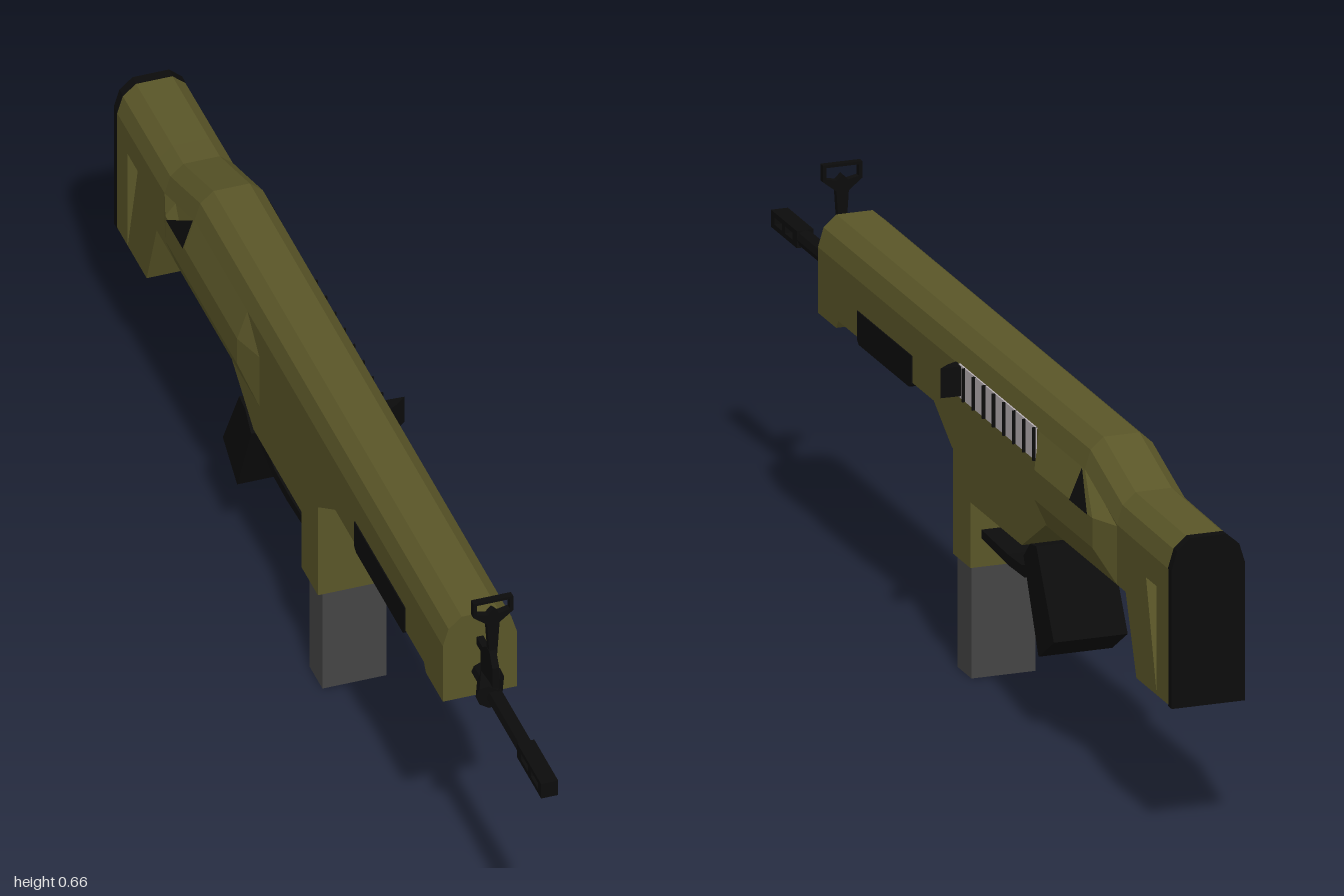
import * as THREE from 'three';

const CX = -0.01; // the long axis sits slightly off centre
const mat = (color) => new THREE.MeshStandardMaterial({ color, flatShading: true, side: THREE.DoubleSide });

export function createModel() {
  const group = new THREE.Group();
  const olive = mat(0x5a5628), black = mat(0x0c0c0c), grey = mat(0x444444), pale = mat(0xb8b0b4);

  const add = (name, geometry, material) => {
    const mesh = new THREE.Mesh(geometry, material);
    mesh.name = name;
    group.add(mesh);
    return mesh;
  };
  const box = (name, w, h, d, x, y, z, material) =>
    add(name, new THREE.BoxGeometry(w, h, d).translate(x, y, z), material);
  const outline = (pts) => new THREE.Shape(pts.map(([a, b]) => new THREE.Vector2(a, b)));

  // Side profile given as [z, y], extruded across the width
  const slab = (name, pts, width, material, holes = [], x = CX) => {
    const shape = outline(pts);
    holes.forEach((h) => shape.holes.push(outline(h)));
    const geo = new THREE.ExtrudeGeometry(shape, { depth: width, bevelEnabled: false });
    return add(name, geo.rotateY(-Math.PI / 2).translate(x + width / 2, 0, 0), material);
  };

  // Chamfered cross-section: each station is [z, bottom, top, left bulge, right bulge]
  const section = ([z, bottom, top, bl = 0, br = 0]) => {
    const half = 0.065, low = Math.max(0.435, bottom);
    const side = (b) => [
      [half, bottom], [half + b, low], [half + b, Math.max(0.487, low)],
      [half, top - 0.053], [half - 0.01, top - 0.02], [0.032, top],
    ];
    const plus = side(bl).map(([x, y]) => [CX + x, y, z]);
    const minus = side(br).map(([x, y]) => [CX - x, y, z]).reverse();
    return [...plus, ...minus];
  };
  const loft = (name, stations, material) => {
    const rings = stations.map(section), n = rings[0].length, pos = [];
    const tri = (...p) => p.forEach((v) => pos.push(...v));
    for (let i = 0; i < rings.length - 1; i++) {
      for (let j = 0; j < n; j++) {
        const k = (j + 1) % n, r = rings[i], s = rings[i + 1];
        tri(r[j], s[j], r[k]);
        tri(r[k], s[j], s[k]);
      }
    }
    const first = rings[0], last = rings[rings.length - 1];
    for (let j = 1; j < n - 1; j++) {
      tri(first[0], first[j], first[j + 1]);
      tri(last[0], last[j + 1], last[j]);
    }
    const geo = new THREE.BufferGeometry();
    geo.setAttribute('position', new THREE.Float32BufferAttribute(pos, 3));
    geo.computeVertexNormals();
    return add(name, geo, material);
  };

  // Long upper body with swollen cheeks, dropping to the stock
  const B = 0.023, C = 0.018;
  loft('body', [
    [0.65, 0.425, 0.593], [0.565, 0.425, 0.593], [0.555, 0.44, 0.593], [0.11, 0.44, 0.593],
    [0.025, 0.385, 0.593], [-0.27, 0.385, 0.593], [-0.33, 0.385, 0.593, 0, C],
    [-0.38, 0.385, 0.593, 0, C], [-0.42, 0.385, 0.593, B, C], [-0.595, 0.385, 0.593, B, C],
    [-0.69, 0.385, 0.561, B, C], [-0.745, 0.385, 0.543], [-0.8, 0.385, 0.542],
    [-0.8, 0.44, 0.542], [-0.985, 0.44, 0.54],
  ], olive);

  // Stock leg and rear post, leaving a wedge-shaped opening, and butt pad
  slab('stockLeg', [[-0.78, 0.44], [-0.785, 0.385], [-0.835, 0.25], [-0.93, 0.25], [-0.88, 0.44]], 0.13, olive);
  slab('stockPost', [[-0.93, 0.44], [-0.93, 0.25], [-0.985, 0.25], [-0.985, 0.44]], 0.13, olive);
  loft('buttPad', [[-0.983, 0.247, 0.542], [-1, 0.247, 0.542]], black);

  // Lower receiver with magazine well, and magazine
  slab('lowerReceiver', [
    [0.022, 0.39], [0.022, 0.2], [-0.06, 0.2], [-0.06, 0.315], [-0.3, 0.315], [-0.42, 0.39],
  ], 0.129, olive);
  box('magazine', 0.113, 0.21, 0.066, CX + 0.001, 0.107, -0.014, grey);

  // Grip, trigger and curved guard
  slab('grip', [[-0.31, 0.3], [-0.34, 0.33], [-0.37, 0.335], [-0.452, 0.192], [-0.38, 0.145]], 0.131, black);
  slab('trigger', [[-0.225, 0.32], [-0.24, 0.32], [-0.237, 0.28], [-0.23, 0.28]], 0.02, black);
  slab('triggerGuard', [
    [-0.06, 0.265], [-0.06, 0.25], [-0.19, 0.242], [-0.26, 0.244], [-0.32, 0.262],
    [-0.31, 0.285], [-0.25, 0.262], [-0.18, 0.26],
  ], 0.09, black);

  // Hand rest under the fore-end
  slab('handRest', [[0.463, 0.487], [0.463, 0.437], [0.455, 0.43], [0.22, 0.43], [0.21, 0.437], [0.21, 0.487]],
    0.134, black);

  // Ejection panel with thin ribs, and charging handle
  box('ejectionPanel', 0.006, 0.058, 0.36, 0.054, 0.514, -0.192, pale);
  for (let i = 0; i < 8; i++) box('panelRib', 0.012, 0.058, 0.004, 0.056, 0.514, -0.04 - i * 0.047, black);
  const handle = new THREE.ExtrudeGeometry(
    outline([[0.045, 0.022], [0.092, 0.02], [0.075, 0.005], [0.045, -0.012]]),
    { depth: 0.052, bevelEnabled: false });
  add('chargingHandle', handle.rotateX(Math.PI / 2).scale(1, 1, -1).translate(0, 0.541, 0), black);

  // Dark triangular notches at the rear of both cheeks
  for (const [s, bulge] of [[1, B], [-1, C]]) {
    const x = (d) => CX + s * (0.069 + d);
    const geo = new THREE.BufferGeometry().setFromPoints([
      new THREE.Vector3(x(0), 0.543, -0.592),
      new THREE.Vector3(x(bulge), 0.489, -0.592),
      new THREE.Vector3(x(bulge), 0.489, -0.676),
    ]);
    geo.setIndex(s > 0 ? [0, 1, 2] : [0, 2, 1]);
    geo.computeVertexNormals();
    add('cheekNotch', geo, black);
  }

  // Barrel and slotted muzzle
  const barrel = new THREE.CylinderGeometry(0.015, 0.015, 0.25, 8).rotateX(Math.PI / 2);
  add('barrel', barrel.translate(CX, 0.475, 0.765), black);
  const slot = (a, b) => [[a, 0.469], [b, 0.469], [b, 0.481], [a, 0.481]];
  slab('muzzle', [[0.88, 0.46], [1, 0.46], [1, 0.49], [0.88, 0.49]], 0.03, black,
    [slot(0.9, 0.935), slot(0.948, 0.984)]);

  // Front sight: clamp, flared post with open frame, and links to the body
  const clamp = new THREE.CylinderGeometry(0.022, 0.022, 0.06, 8).rotateZ(Math.PI / 8);
  add('sightClamp', clamp.rotateX(Math.PI / 2).translate(CX, 0.476, 0.7), black);
  slab('sightBase', [[0.73, 0.47], [0.73, 0.535], [0.715, 0.56], [0.7, 0.56], [0.68, 0.545], [0.645, 0.545],
    [0.645, 0.53], [0.67, 0.53], [0.67, 0.47]], 0.012, black);
  const sight = outline([
    [-0.006, 0.49], [0.006, 0.49], [0.006, 0.54], [0.011, 0.615], [0.035, 0.634], [0.035, 0.663],
    [-0.035, 0.663], [-0.035, 0.634], [-0.011, 0.615], [-0.006, 0.54],
  ]);
  sight.holes.push(outline([[-0.029, 0.658], [0.029, 0.658], [0.029, 0.638], [0.01, 0.634], [0, 0.644],
    [-0.01, 0.634], [-0.029, 0.638]]));
  const sightGeo = new THREE.ExtrudeGeometry(sight, { depth: 0.012, bevelEnabled: false });
  add('frontSight', sightGeo.translate(CX + 0.002, 0, 0.7), black);

  return group;
}
